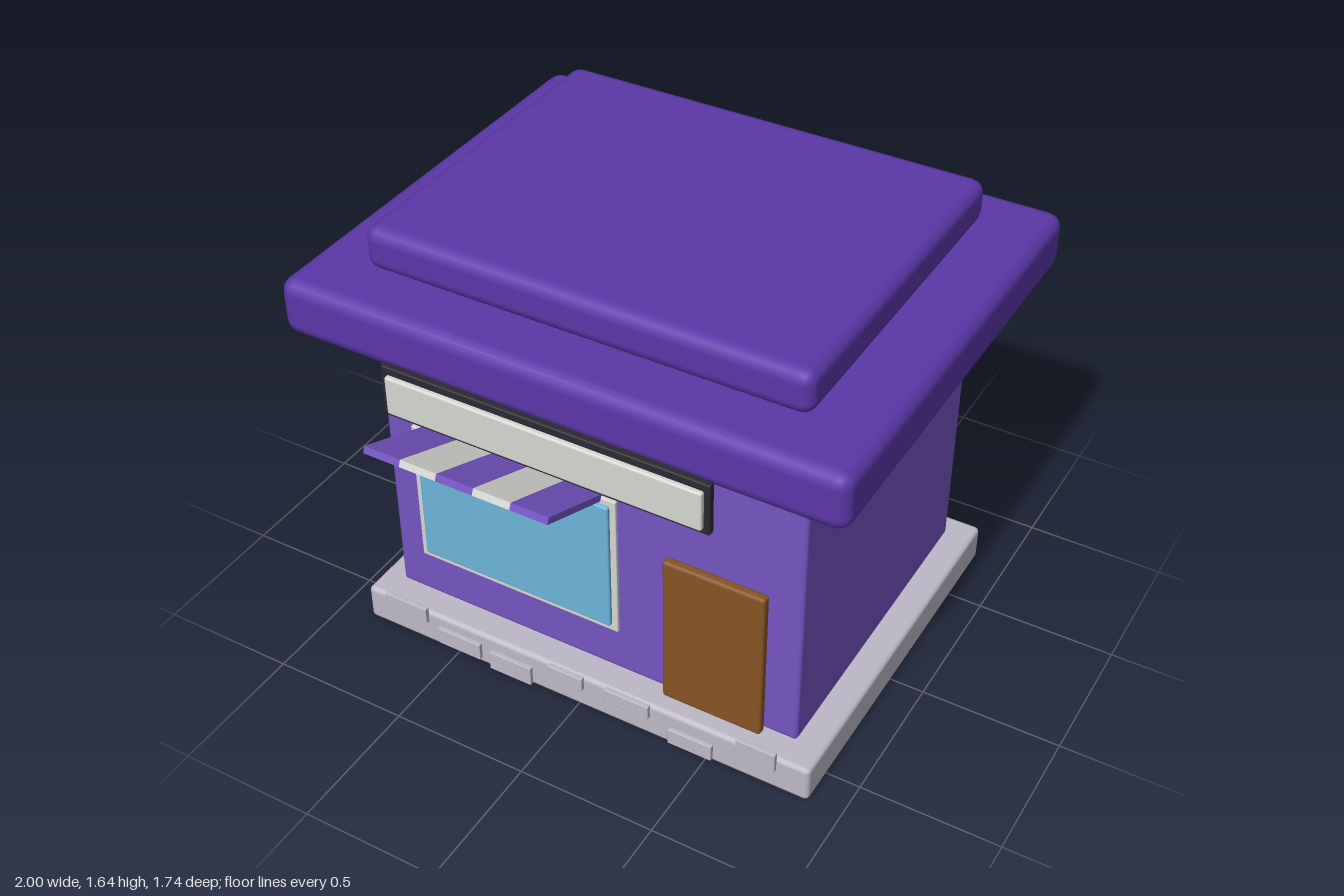
import * as THREE from 'three';
import { RoundedBoxGeometry } from 'three/addons/geometries/RoundedBoxGeometry.js';

const mat = (name, color) => {
  const m = new THREE.MeshStandardMaterial({ color });
  m.name = name;
  return m;
};

// Box given by its limits on each axis; bevel rounds the edges
function block(name, material, [x0, x1], [y0, y1], [z0, z1], bevel = 0) {
  const size = [x1 - x0, y1 - y0, z1 - z0];
  const geometry = bevel
    ? new RoundedBoxGeometry(...size, 2, bevel)
    : new THREE.BoxGeometry(...size);
  const mesh = new THREE.Mesh(geometry, material);
  mesh.name = name;
  mesh.position.set((x0 + x1) / 2, (y0 + y1) / 2, (z0 + z1) / 2);
  return mesh;
}

export function createModel() {
  const wallPurple = mat('wall purple', 0x7454c2);
  const roofPurple = mat('roof purple', 0x5b37a8);
  const stone = mat('stone grey', 0xbeb9c7);
  const white = mat('off white', 0xd7d7d3);
  const dark = mat('dark trim', 0x2b2931);
  const glass = mat('window blue', 0x6db6dc);
  const wood = mat('door brown', 0x875424);

  const shop = new THREE.Group();
  shop.name = 'shop';

  // Foundation, walls and stepped roof
  shop.add(
    block('foundation', stone, [-0.88, 0.88], [0, 0.14], [-0.75, 0.645], 0.018),
    block('walls', wallPurple, [-0.79, 0.785], [0.147, 1.26], [-0.655, 0.55], 0.015),
    block('lowerRoof', roofPurple, [-1, 1], [1.275, 1.48], [-0.865, 0.76], 0.05),
    block('upperRoof', roofPurple, [-0.79, 0.785], [1.485, 1.64], [-0.68, 0.575], 0.045),
  );

  // Window and door
  shop.add(
    block('windowFrame', white, [-0.68, 0.115], [0.325, 0.89], [0.54, 0.563], 0.004),
    block('windowGlass', glass, [-0.655, 0.093], [0.352, 0.867], [0.545, 0.577], 0.008),
    block('door', wood, [0.3, 0.67], [0.147, 0.748], [0.553, 0.59], 0.012),
  );

  // Sign hung in front of the eaves
  shop.add(
    block('signFrame', dark, [-0.587, 0.583], [1.13, 1.32], [0.766, 0.793], 0.006),
    block('signPanel', white, [-0.565, 0.563], [1.15, 1.293], [0.775, 0.81], 0.008),
  );

  // Striped awning, tilted up and outward
  const awning = new THREE.Group();
  awning.name = 'awning';
  const stripe = 0.139;
  for (let i = 0; i < 5; i++) {
    const x = -0.63 + i * stripe;
    awning.add(block('awningStripe', i % 2 ? white : wallPurple,
      [x, x + stripe], [-0.0125, 0.0125], [-0.162, 0.162]));
  }
  awning.position.set(0, 0.957, 0.716);
  awning.rotation.x = -0.395;
  shop.add(awning);

  // Loose stones set on the front of the foundation
  const stones = [
    [-0.795, -0.618, 0.095, 0.16], [-0.57, -0.395, 0.027, 0.096],
    [-0.355, -0.185, 0.008, 0.086], [-0.115, 0.025, 0.085, 0.14],
    [0.11, 0.285, 0.085, 0.14], [0.36, 0.527, 0.016, 0.08],
    [0.617, 0.762, 0.09, 0.167],
  ];
  for (const [x0, x1, y0, y1] of stones) {
    shop.add(block('facingStone', stone, [x0, x1], [y0, y1], [0.641, 0.66], 0.003));
  }

  return shop;
}
